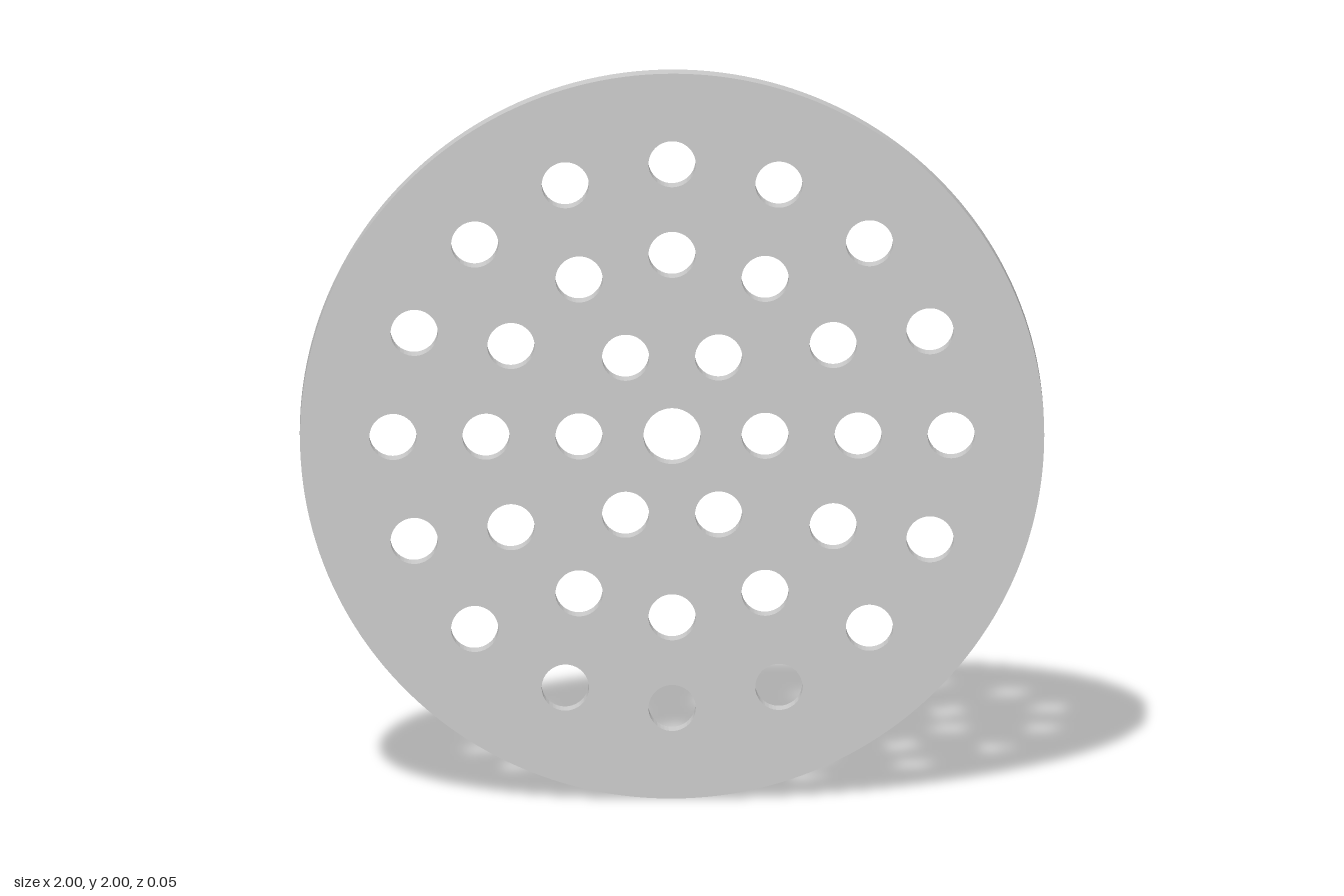
import * as THREE from 'three';
import { toCreasedNormals } from 'three/addons/utils/BufferGeometryUtils.js';

const THICKNESS = 0.05;
const HOLE_RADIUS = 0.0635;
const CENTRE_RADIUS = 0.077;

// Concentric rings of holes
const RINGS = [
  { radius: 0.25, count: 6 },
  { radius: 0.5, count: 12 },
  { radius: 0.75, count: 16 },
];

function circle(PathType, x, y, radius) {
  return new PathType().absarc(x, y, radius, 0, Math.PI * 2, false);
}

export function createModel() {
  const group = new THREE.Group();
  group.name = 'perforatedDisc';

  // Round plate with a larger hole in the middle
  const outline = circle(THREE.Shape, 0, 0, 1);
  outline.holes.push(circle(THREE.Path, 0, 0, CENTRE_RADIUS));
  for (const { radius, count } of RINGS) {
    for (let i = 0; i < count; i++) {
      const a = (i / count) * Math.PI * 2;
      outline.holes.push(circle(THREE.Path, radius * Math.cos(a), radius * Math.sin(a), HOLE_RADIUS));
    }
  }

  // Crisp rims, smooth round walls
  const extruded = new THREE.ExtrudeGeometry(outline, {
    depth: THICKNESS,
    bevelEnabled: false,
    curveSegments: 96,
  });
  extruded.translate(0, 1, -THICKNESS / 2);

  const plate = new THREE.Mesh(
    toCreasedNormals(extruded, 0.5),
    new THREE.MeshStandardMaterial({ color: 0xcccccc })
  );
  plate.name = 'plate';
  group.add(plate);
  return group;
}
